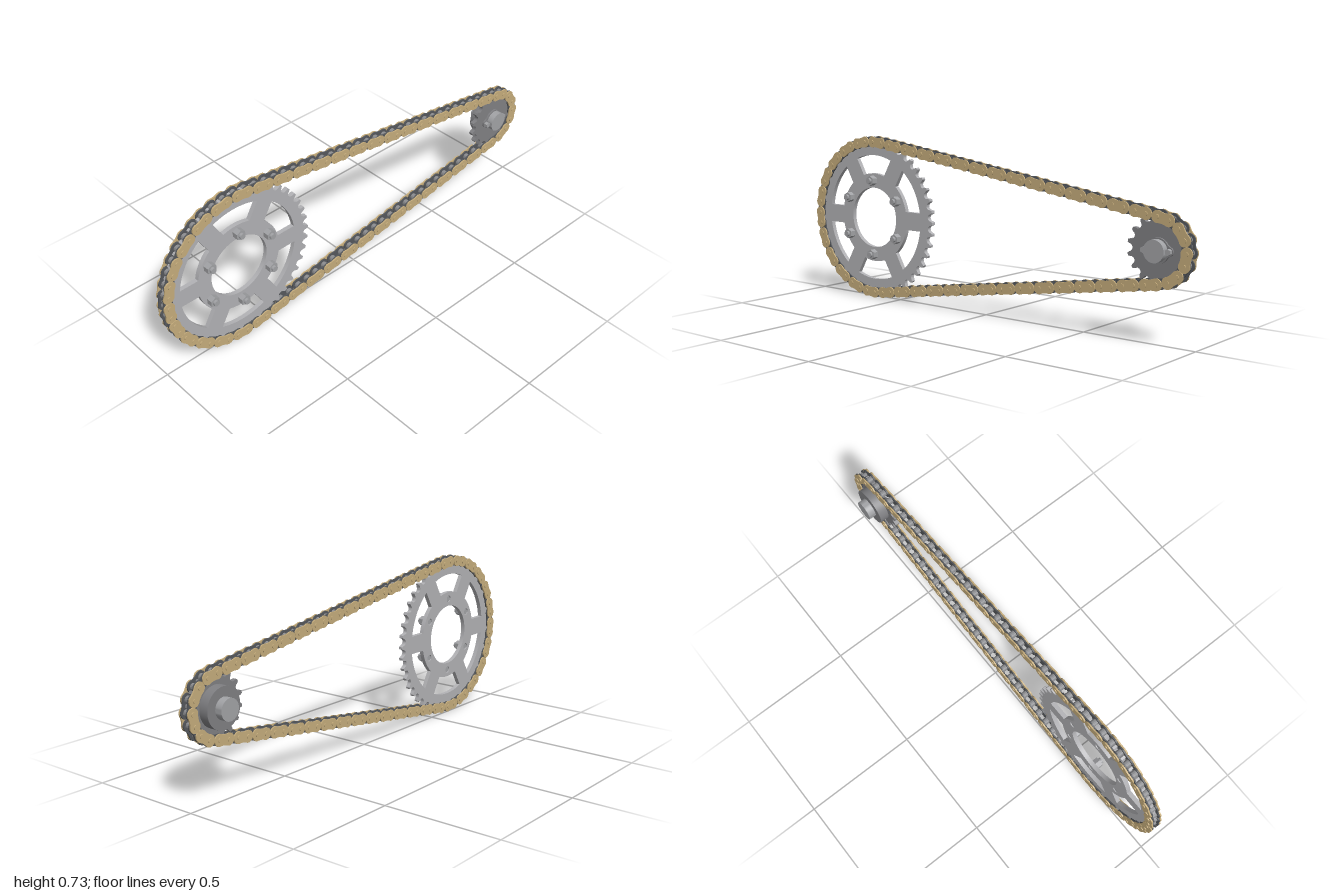
import * as THREE from 'three';
import { mergeGeometries, toCreasedNormals } from 'three/addons/utils/BufferGeometryUtils.js';

const mat = (name, color) => Object.assign(new THREE.MeshStandardMaterial({ color }), { name });

// Layout: two sprocket centres, pitch radii and the chain's mid plane
const CY = 0.3685, ZC = 0.0185;
const R1 = 0.343, R2 = 0.127, X1 = -0.6325, X2 = 0.8485;
const LINKS = 90, PLATE_R = 0.0245;

// Chain loop: large arc, lower run, small arc, upper run
const C = X2 - X1, PHI = Math.acos((R1 - R2) / C);
const arc1 = R1 * (Math.PI - PHI), run = C * Math.sin(PHI), arc2 = R2 * 2 * PHI;
const PITCH = (2 * arc1 + 2 * run + arc2) / LINKS;

function onCircle(cx, r, a) {
  return new THREE.Vector2(cx + r * Math.cos(a), CY + r * Math.sin(a));
}

function chainPoint(s) {
  if (s < arc1) return onCircle(X1, R1, Math.PI + s / R1);
  s -= arc1;
  if (s < run) return onCircle(X1, R1, -PHI).lerp(onCircle(X2, R2, -PHI), s / run);
  s -= run;
  if (s < arc2) return onCircle(X2, R2, -PHI + s / R2);
  s -= arc2;
  if (s < run) return onCircle(X2, R2, PHI).lerp(onCircle(X1, R1, PHI), s / run);
  s -= run;
  return onCircle(X1, R1, PHI + s / R1);
}

// Flat part between two z positions
function slab(shape, z0, z1, curveSegments = 12) {
  const g = new THREE.ExtrudeGeometry(shape, { depth: z1 - z0, bevelEnabled: false, curveSegments });
  return toCreasedNormals(g.translate(0, 0, z0), 0.6);
}

// Round bar along z between two z positions
function bar(r, z0, z1, x = 0, y = 0, sides = 32) {
  const g = new THREE.CylinderGeometry(r, r, z1 - z0, sides).rotateX(Math.PI / 2);
  return toCreasedNormals(g.translate(x, y, (z0 + z1) / 2), 0.6);
}

function circlePath(r, x = 0, y = 0) {
  return new THREE.Path().absarc(x, y, r, 0, Math.PI * 2, true);
}

// Toothed outline with round roller seats between pointed teeth
function sprocketShape(teeth, pitchR, tipR, seatAngle) {
  const pts = [], step = Math.PI * 2 / teeth, seat = 0.0155;
  for (let i = 0; i < teeth; i++) {
    const a = seatAngle + i * step;
    const cx = pitchR * Math.cos(a), cy = pitchR * Math.sin(a);
    for (let k = -3; k <= 3; k++) {
      const b = a + Math.PI - k * 0.5;
      pts.push(new THREE.Vector2(cx + seat * Math.cos(b), cy + seat * Math.sin(b)));
    }
    // tooth tip
    for (const f of [0.4, 0.6]) {
      const b = a + f * step;
      pts.push(new THREE.Vector2(tipR * Math.cos(b), tipR * Math.sin(b)));
    }
  }
  return new THREE.Shape(pts);
}

// Window between two parallel-sided spokes, centred on angle mid
function windowPath(mid, rIn, rOut, halfSpoke) {
  const pts = [], half = Math.PI / 6;
  for (const [r, dir] of [[rIn, 1], [rOut, -1]]) {
    const a = half - Math.asin(halfSpoke / r);
    for (let k = 0; k <= 12; k++) {
      const b = mid + dir * a * (k / 6 - 1);
      pts.push(new THREE.Vector2(r * Math.cos(b), r * Math.sin(b)));
    }
  }
  return new THREE.Path(pts);
}

// Slightly waisted chain side plate, lying along x around its middle
function linkShape(r) {
  const h = PITCH / 2, open = 1.1;
  const s = new THREE.Shape();
  s.absarc(h, 0, r, -Math.PI + open + 0.35, Math.PI - open - 0.35, false);
  s.quadraticCurveTo(0, r * 0.72, -h + r * Math.cos(open + 0.35), r * Math.sin(open + 0.35));
  s.absarc(-h, 0, r, open + 0.35, Math.PI * 2 - open - 0.35, false);
  s.quadraticCurveTo(0, -r * 0.72, h - r * Math.cos(open + 0.35), -r * Math.sin(open + 0.35));
  return s;
}

export function createModel() {
  const model = new THREE.Group();
  model.name = 'chainDrive';
  const tan = mat('chainTan', 0xc6ad7c);
  const dark = mat('darkSteel', 0x55585c);
  const rollerGrey = mat('rollerSteel', 0x8c8d90);
  const light = mat('lightSteel', 0xb2b2b5);
  const mid = mat('sprocketSteel', 0x808083);
  const boltGrey = mat('boltSteel', 0xa2a3a6);

  const add = (parent, name, geos, material) => {
    const list = [].concat(geos);
    const mesh = new THREE.Mesh(list.length > 1 ? mergeGeometries(list) : list[0], material);
    mesh.name = name;
    parent.add(mesh);
    return mesh;
  };
  const group = (name, x, y) => {
    const g = new THREE.Group();
    g.name = name;
    g.position.set(x, y, 0);
    model.add(g);
    return g;
  };

  // Chain: alternating outer and inner links, with pins and rollers
  const chain = group('chain', 0, 0);
  const pins = [], rollers = [], outer = [], inner = [];
  const pinGeo = bar(0.009, ZC - 0.028, ZC + 0.028, 0, 0, 12);
  const rollerGeo = bar(0.0145, ZC - 0.0115, ZC + 0.0115, 0, 0, 14);
  const pair = (r, z0, z1) => mergeGeometries([
    slab(linkShape(r), ZC + z0, ZC + z1, 8), slab(linkShape(r), ZC - z1, ZC - z0, 8)]);
  const outerGeo = pair(PLATE_R, 0.0185, 0.0245);
  const innerGeo = pair(PLATE_R - 0.0005, 0.0115, 0.0172);
  for (let i = 0; i < LINKS; i++) {
    const a = chainPoint(i * PITCH), b = chainPoint(((i + 1) % LINKS) * PITCH);
    pins.push(pinGeo.clone().translate(a.x, a.y, 0));
    rollers.push(rollerGeo.clone().translate(a.x, a.y, 0));
    const link = (i % 2 ? innerGeo : outerGeo).clone();
    link.rotateZ(Math.atan2(b.y - a.y, b.x - a.x)).translate((a.x + b.x) / 2, (a.y + b.y) / 2, 0);
    (i % 2 ? inner : outer).push(link);
  }
  add(chain, 'outerPlates', outer, tan);
  add(chain, 'innerPlates', inner, dark);
  add(chain, 'pins', pins, tan);
  add(chain, 'rollers', rollers, rollerGrey);

  // Large sprocket: open centre, six windows and six bolt holes
  const rear = group('largeSprocket', X1, CY);
  const wheel = sprocketShape(43, R1, 0.353, Math.PI);
  wheel.holes.push(circlePath(0.136));
  const nuts = [], studs = [];
  for (let i = 0; i < 6; i++) {
    const a = Math.PI / 6 + i * Math.PI / 3;
    const x = 0.168 * Math.cos(a), y = 0.168 * Math.sin(a);
    wheel.holes.push(windowPath(a, 0.2, 0.283, 0.04), circlePath(0.015, x, y));
    nuts.push(bar(0.0225, ZC + 0.0095, 0.055, x, y, 6));
    studs.push(bar(0.0125, 0.012, 0.066, x, y, 20));
  }
  add(rear, 'largeSprocketPlate', slab(wheel, ZC - 0.0095, ZC + 0.0095, 32), light);
  add(rear, 'hexNuts', nuts, boltGrey);
  add(rear, 'studs', studs, boltGrey);

  // Small sprocket on its shaft, with a collar behind
  const front = group('smallSprocket', X2, CY);
  add(front, 'smallSprocketPlate', slab(sprocketShape(16, R2, 0.135, 0), ZC - 0.0095, ZC + 0.0095), mid);
  add(front, 'collar', bar(0.083, -0.032, ZC - 0.005, 0, 0, 48), mid);
  add(front, 'shaft', bar(0.044, -0.064, 0.064, 0, 0, 40), boltGrey);

  // Retainer plate with two small bolts
  const keeper = new THREE.Shape();
  keeper.absarc(0.05, 0, 0.017, -1.2, 1.2, false);
  keeper.absarc(0, 0, 0.05, 0.5, Math.PI - 0.5, false);
  keeper.absarc(-0.05, 0, 0.017, Math.PI - 1.2, Math.PI + 1.2, false);
  keeper.absarc(0, 0, 0.05, Math.PI + 0.5, Math.PI * 2 - 0.5, false);
  add(front, 'retainerPlate', slab(keeper, ZC + 0.009, 0.036), mid);
  add(front, 'retainerBolts', [-1, 1].map(s => bar(0.0125, 0.03, 0.052, s * 0.053, 0, 6)), boltGrey);

  return model;
}
